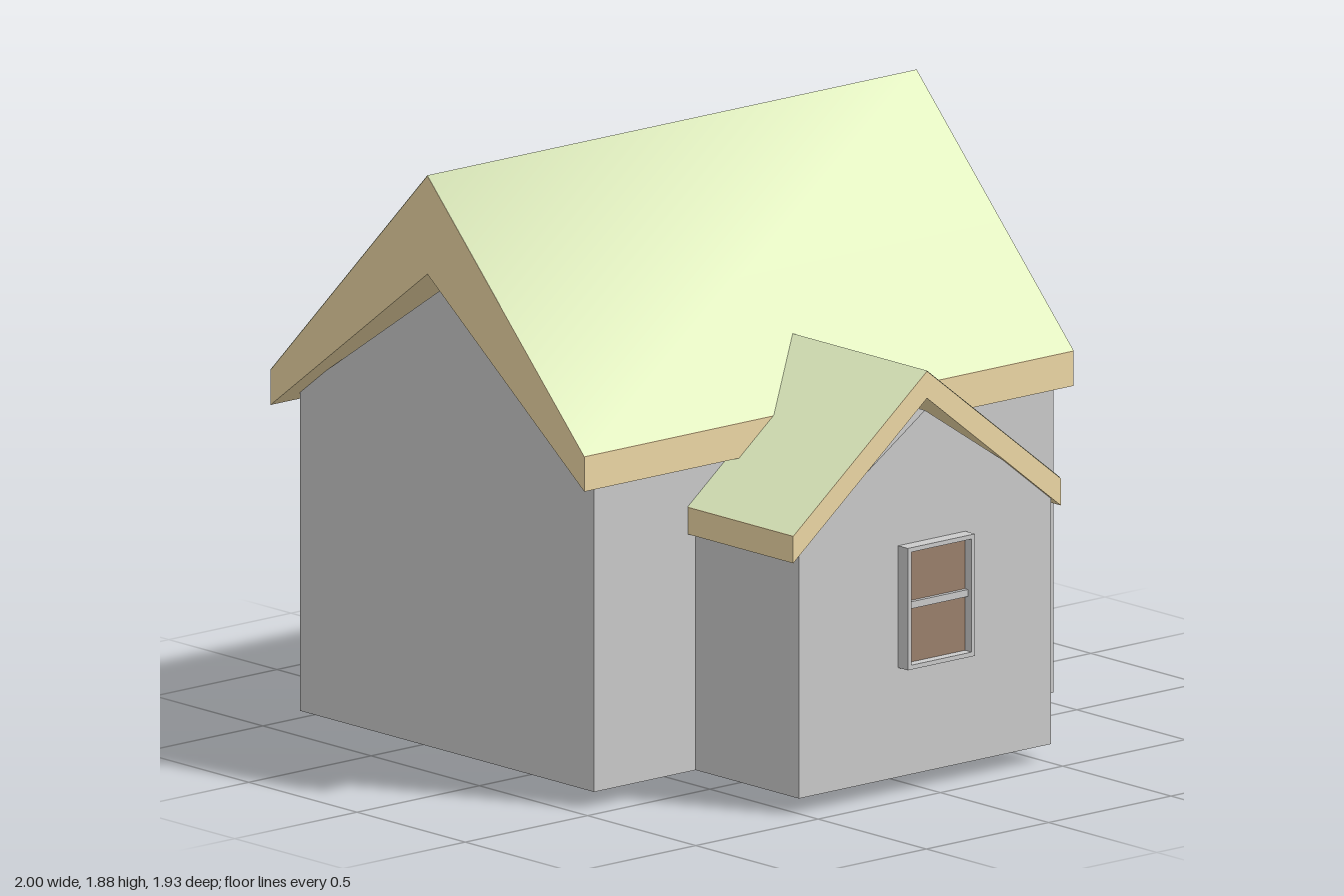
import * as THREE from 'three';

const mat = (color, side = THREE.FrontSide) => new THREE.MeshStandardMaterial({ color, side });
const GREY = mat(0xcccccc);
const TAN = mat(0xefd9a6);
const GREEN = mat(0xe6f4c4, THREE.DoubleSide);
const BLACK = mat(0x0f0f0f);
const BROWN = mat(0x9c816d);

function add(parent, name, geometry, material, x = 0, y = 0, z = 0) {
  const mesh = new THREE.Mesh(geometry, material);
  mesh.name = name;
  mesh.position.set(x, y, z);
  parent.add(mesh);
  return mesh;
}

// Extrude a list of [x, y] points from z0 to z1
function prism(points, z0, z1) {
  const shape = new THREE.Shape(points.map(([x, y]) => new THREE.Vector2(x, y)));
  return new THREE.ExtrudeGeometry(shape, { depth: z1 - z0, bevelEnabled: false }).translate(0, 0, z0);
}

// Two-slope roof covering; smooth shares the normals along the ridge
function covering(half, eave, ridge, z0, z1, smooth) {
  const lift = 0.002;
  const section = [[-half, eave + lift], [0, ridge + lift], [half, eave + lift]];
  const geometry = new THREE.BufferGeometry();
  const verts = section.flatMap(([x, y]) => [x, y, z0, x, y, z1]);
  geometry.setAttribute('position', new THREE.Float32BufferAttribute(verts, 3));
  geometry.setIndex([0, 1, 3, 0, 3, 2, 2, 3, 5, 2, 5, 4]);
  const result = smooth ? geometry : geometry.toNonIndexed();
  result.computeVertexNormals();
  return result;
}

// Gabled block: walls plus an overhanging roof, running along local z
function gabledBlock(name, walls, roof) {
  const group = new THREE.Group();
  group.name = name;
  const { half: w, eave, apex, z0, z1 } = walls;
  add(group, name + 'Walls', prism([[-w, 0.05], [w, 0.05], [w, eave], [0, apex], [-w, eave]], z0, z1), GREY);

  const { half: r, top, under } = roof;
  const chevron = [[-r, under[0]], [0, under[1]], [r, under[0]], [r, top[0]], [0, top[1]], [-r, top[0]]];
  add(group, name + 'RoofBoards', prism(chevron, roof.z0, roof.z1), TAN);
  add(group, name + 'RoofCovering', covering(r, top[0], top[1], roof.z0, roof.z1, roof.smooth), GREEN);
  return group;
}

// Window facing +z, back against z = 0
function makeWindow(name, w, h, depth) {
  const group = new THREE.Group();
  group.name = name;
  const t = 0.014;
  const rect = (a, b) => [[-a, -b], [a, -b], [a, b], [-a, b]].map(([x, y]) => new THREE.Vector2(x, y));
  const shape = new THREE.Shape(rect(w / 2, h / 2));
  shape.holes.push(new THREE.Path(rect(w / 2 - t, h / 2 - t).reverse()));
  add(group, 'windowFrame', new THREE.ExtrudeGeometry(shape, { depth, bevelEnabled: false }), GREY);
  add(group, 'windowPane', new THREE.BoxGeometry(w - t, h - t, 0.012), BROWN, 0, 0, 0.008);
  add(group, 'windowBar', new THREE.BoxGeometry(w - t, 0.022, 0.016), GREY, 0, 0.005, 0.02);
  return group;
}

// Door facing +z with a turned knob, back against z = 0
function makeDoor(name, w, h, depth, knobX, knobY, knobSize) {
  const group = new THREE.Group();
  group.name = name;
  add(group, 'doorPanel', new THREE.BoxGeometry(w, h, depth + 0.01), BLACK, 0, h / 2, depth / 2 - 0.005);
  const profile = [[0, 0], [0.6, 0], [0.6, 0.15], [0.4, 0.35], [0.8, 0.65], [1, 0.9], [0.8, 1.15], [0, 1.25]]
    .map(([r, y]) => new THREE.Vector2(r * knobSize, y * knobSize));
  const knob = new THREE.LatheGeometry(profile, 20).rotateX(Math.PI / 2);
  add(group, 'doorKnob', knob, GREY, knobX, knobY, depth);
  return group;
}

function place(parent, object, x, y, z, turn = 0) {
  object.position.set(x, y, z);
  object.rotation.y = turn;
  parent.add(object);
}

export function createModel() {
  const house = new THREE.Group();
  house.name = 'house';

  // Main block, its ridge running along x
  place(house, gabledBlock('main',
    { half: 0.68, eave: 1.065, apex: 1.52, z0: -0.92, z1: 0.957 },
    { half: 0.725, top: [1.13, 1.88], under: [1.02, 1.57], z0: -1, z1: 1, smooth: true },
  ), 0, 0, -0.24, Math.PI / 2);

  // Front wing, its ridge running into the main roof
  place(house, gabledBlock('frontWing',
    { half: 0.515, eave: 0.85, apex: 1.19, z0: 0.43, z1: 0.917 },
    { half: 0.547, top: [0.885, 1.315], under: [0.8, 1.23], z0: 0.23, z1: 0.927, smooth: false },
  ), 0.01, 0, 0);

  // Windows
  place(house, makeWindow('frontWindow', 0.275, 0.385, 0.045), 0.038, 0.588, 0.917);
  place(house, makeWindow('sideWindow', 0.28, 0.39, 0.033), 0.957, 0.812, -0.33, Math.PI / 2);

  // Doors
  place(house, makeDoor('sideDoor', 0.33, 0.445, 0.016, -0.1, 0.17, 0.014), 0.957, 0.03, -0.33, Math.PI / 2);
  place(house, makeDoor('backDoor', 0.65, 0.665, 0.015, -0.2, 0.26, 0.02), 0, 0, -0.92, Math.PI);

  return house;
}
